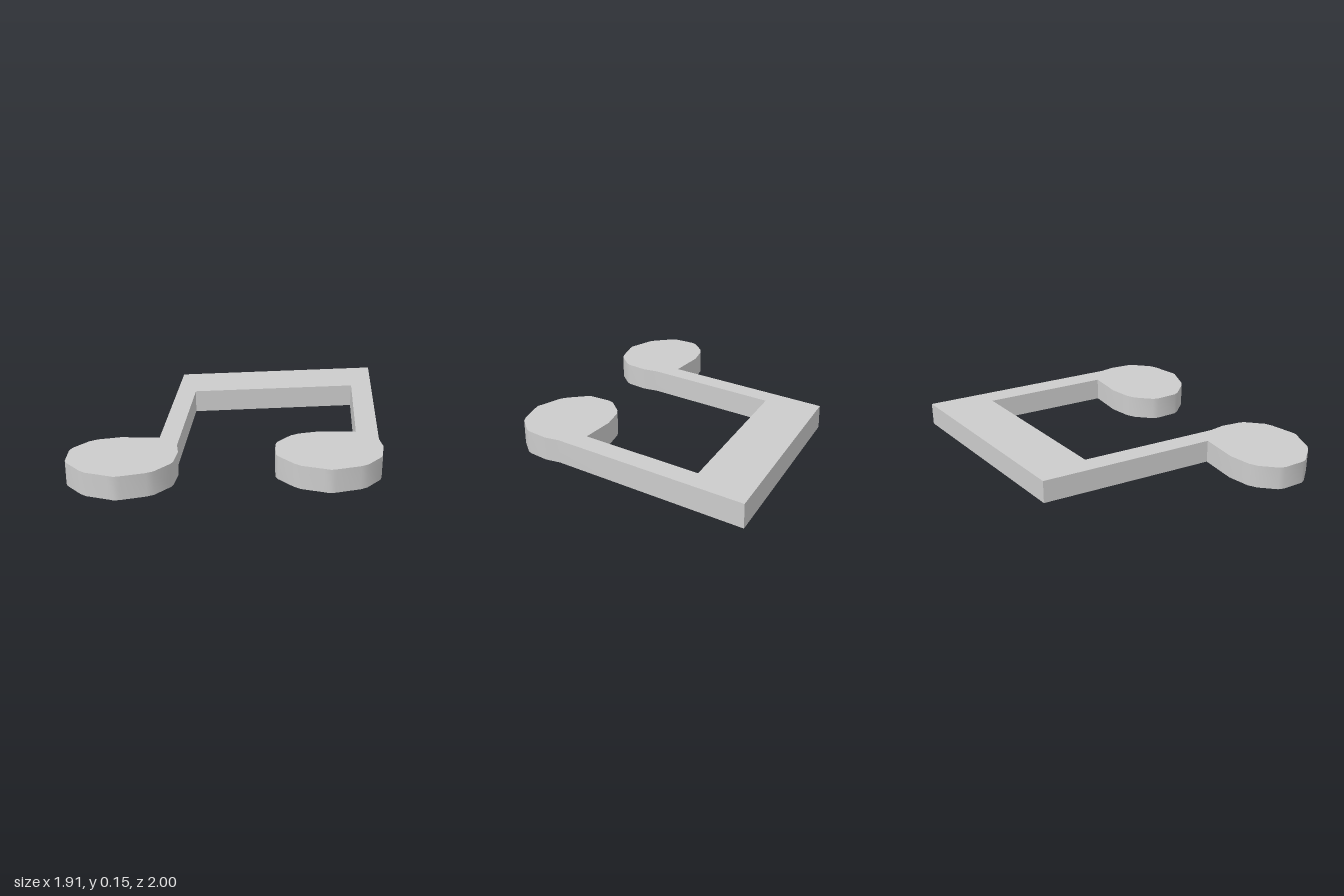
import * as THREE from 'three';
import { toCreasedNormals } from 'three/addons/utils/BufferGeometryUtils.js';

const THICKNESS = 0.153;

// Rounded note head as [x, z], from the stem's inner foot round to its outer foot
const HEAD = [
  [-0.44, 0.43], [-0.685, 0.445], [-0.82, 0.49], [-0.87, 0.525], [-0.95, 0.63],
  [-0.96, 0.67], [-0.95, 0.81], [-0.935, 0.84], [-0.835, 0.935], [-0.795, 0.96],
  [-0.66, 0.99], [-0.62, 1.0], [-0.585, 0.99], [-0.44, 0.935], [-0.4, 0.91],
  [-0.315, 0.8], [-0.305, 0.77], [-0.295, 0.635], [-0.3, 0.61], [-0.315, 0.535],
];

const headAt = (dx, dz) => HEAD.map(([x, z]) => [x + dx, z + dz]);

export function createModel() {
  const group = new THREE.Group();
  group.name = 'beamedNotes';

  const rightFoot = headAt(0, 0);
  const leftFoot = headAt(1.25, -0.195);
  leftFoot[0][0] = 0.795; // inner side of the stem stays vertical

  // One closed outline: head, stem, underside of the beam, head, stem, top of the beam
  const outline = [
    ...rightFoot,
    [-0.31, -0.39], [0.795, -0.6],
    ...leftFoot,
    [0.938, -1.0], [-0.44, -0.73],
  ];
  const shape = new THREE.Shape(outline.map(([x, z]) => new THREE.Vector2(x, -z)));

  // Lay the extruded plate flat on the ground
  const plate = new THREE.ExtrudeGeometry(shape, { depth: THICKNESS, bevelEnabled: false });
  plate.rotateX(-Math.PI / 2);

  const mesh = new THREE.Mesh(
    toCreasedNormals(plate, 0.55),
    new THREE.MeshStandardMaterial({ color: 0xcccccc })
  );
  mesh.name = 'notePlate';
  group.add(mesh);
  return group;
}
